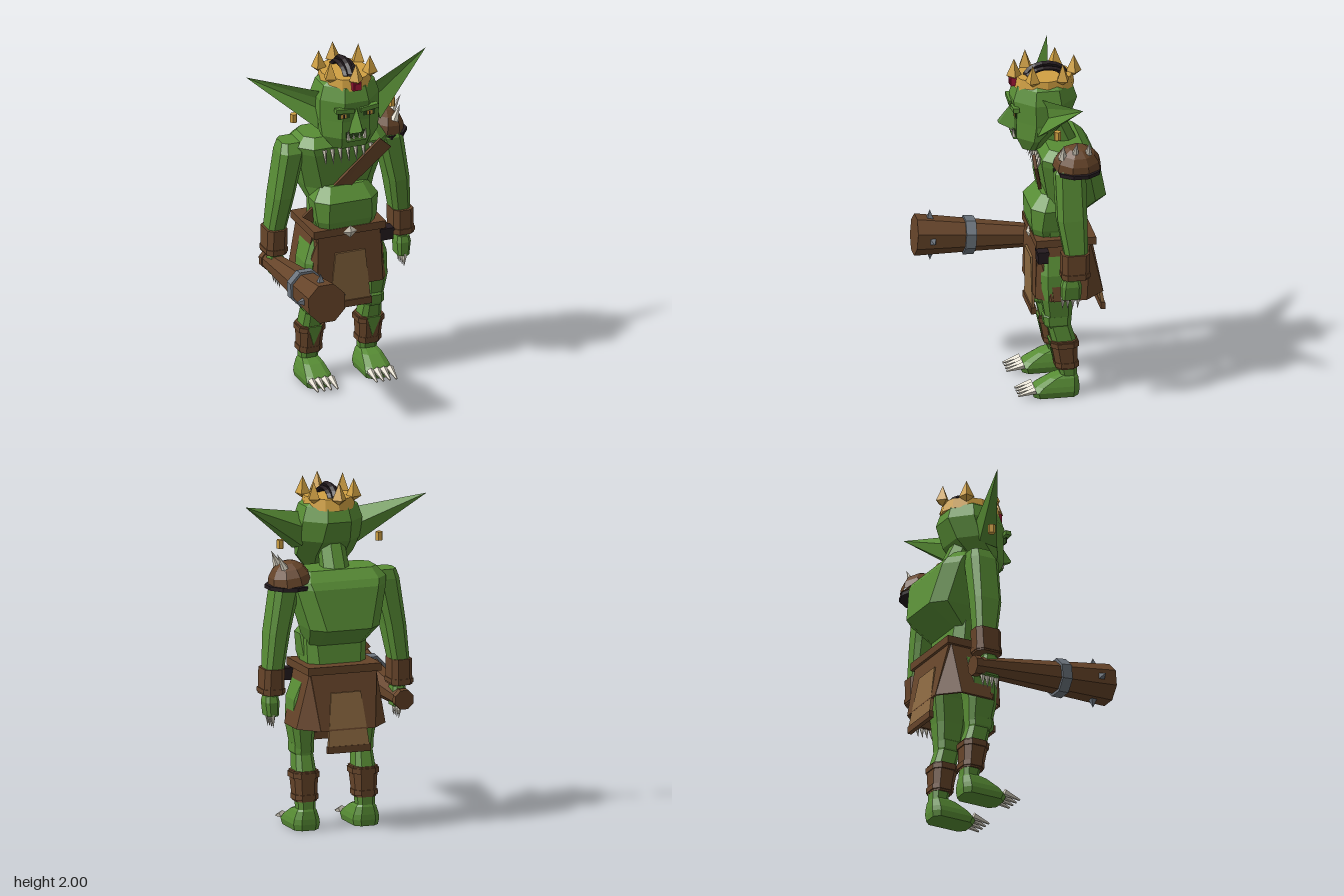
import * as THREE from 'three';

const mat = (name, color) => {
  const m = new THREE.MeshStandardMaterial({ color });
  m.name = name;
  return m;
};
const V = (x, y, z) => new THREE.Vector3(x, y, z);

// Closed flat-shaded skin through rings of equal point count, always facing outward
function skin(rings) {
  const tris = [], n = rings[0].length;
  for (let i = 0; i + 1 < rings.length; i++) {
    for (let j = 0; j < n; j++) {
      const k = (j + 1) % n, a = rings[i], b = rings[i + 1];
      tris.push([a[j], b[j], b[k]], [a[j], b[k], a[k]]);
    }
  }
  const first = rings[0], last = rings[rings.length - 1];
  for (let j = 1; j + 1 < n; j++) {
    tris.push([first[0], first[j], first[j + 1]], [last[0], last[j + 1], last[j]]);
  }
  const o = first[0], cross = V(0, 0, 0);
  let volume = 0;
  for (const [a, b, c] of tris) {
    volume += a.clone().sub(o).dot(cross.crossVectors(b.clone().sub(o), c.clone().sub(o)));
  }
  const pts = tris.flatMap(([a, b, c]) => (volume < 0 ? [a, c, b] : [a, b, c]));
  const geo = new THREE.BufferGeometry().setFromPoints(pts);
  geo.computeVertexNormals();
  return geo;
}

// Stack of chamfered rectangles: [y, centreX, halfWidth, zFront, zBack, chamfer]
const loft = (sections) => skin(sections.map(([y, cx, w, zf, zb, ch = 0.45]) => {
  const d = (zf - zb) / 2, cz = (zf + zb) / 2, c = ch * Math.min(w, d);
  return [[w - c, d], [w, d - c], [w, c - d], [w - c, -d], [c - w, -d], [-w, c - d], [-w, d - c], [c - w, d]]
    .map(([x, z]) => V(cx + x, y, cz + z));
}));

// Flat panel thickened by an offset
const plate = (corners, offset) => {
  const a = corners.map((p) => V(...p));
  return skin([a, a.map((p) => p.clone().add(V(...offset)))]);
};

const flat = (geo) => {
  const g = geo.index ? geo.toNonIndexed() : geo;
  g.computeVertexNormals();
  return g;
};

// Tapered bar between two points; zero end radius gives a spike
function bar(from, to, r0, r1 = 0, sides = 5) {
  const a = V(...from), d = V(...to).sub(a), len = d.length();
  const geo = new THREE.CylinderGeometry(r1, r0, len, sides);
  geo.rotateY(Math.PI / sides).translate(0, len / 2, 0);
  geo.applyQuaternion(new THREE.Quaternion().setFromUnitVectors(V(0, 1, 0), d.normalize()));
  return flat(geo.translate(a.x, a.y, a.z));
}

const box = (w, h, d, x, y, z, tilt = 0) =>
  new THREE.BoxGeometry(w, h, d).rotateZ(tilt).translate(x, y, z);

export function createModel() {
  const root = new THREE.Group();
  root.name = 'goblinChief';
  const green = mat('greenSkin', 0x588d35), shade = mat('darkGreen', 0x2c4a1b);
  const leather = mat('brownLeather', 0x664429), tan = mat('tanCloth', 0x8b6840);
  const gold = mat('gold', 0xd0a042), bone = mat('bone', 0xd6d0c0), steel = mat('steel', 0x6c747d);
  const black = mat('blackLeather', 0x241b1f), red = mat('ruby', 0xa8183a);
  const add = (name, geo, material) => {
    const m = new THREE.Mesh(geo, material);
    m.name = name;
    root.add(m);
  };

  // Torso
  add('chest', loft([[1.05, 0, 0.16, -0.17, -0.32], [1.18, 0, 0.21, -0.17, -0.505],
    [1.41, 0, 0.27, -0.125, -0.455], [1.45, 0, 0.275, -0.125, -0.43], [1.505, 0, 0.23, -0.17, -0.37]]), green);
  add('waist', loft([[0.93, 0, 0.175, -0.12, -0.36], [1.1, 0, 0.18, -0.14, -0.34]]), green);
  add('belly', loft([[0.93, 0, 0.16, -0.1, -0.3], [1.0, 0, 0.18, -0.08, -0.3],
    [1.12, 0, 0.195, -0.075, -0.3, 0.6], [1.2, 0, 0.14, -0.14, -0.28, 0.6]]), green);
  add('neck', bar([0, 1.45, -0.29], [0, 1.68, -0.19], 0.085, 0.075, 8), green);
  add('chestStrap', plate([[0.18, 1.48, -0.07], [0.245, 1.42, -0.07], [-0.18, 0.97, -0.2], [-0.24, 1.01, -0.2]],
    [0, 0, -0.02]), leather);
  for (let i = -3; i <= 3; i++) {
    add('necklaceTooth', bar([i * 0.047, 1.44, -0.125], [i * 0.047, 1.35, -0.1], 0.014), bone);
  }

  // Head and face
  add('head', loft([[1.475, 0, 0.11, -0.035, -0.14, 0.7], [1.55, 0, 0.17, 0, -0.2, 0.85],
    [1.65, 0, 0.18, 0, -0.3, 0.65], [1.77, 0, 0.18, 0.015, -0.35, 0.6], [1.85, 0, 0.155, -0.01, -0.325, 0.6],
    [1.89, 0, 0.1, -0.07, -0.26]]), green);
  add('nose', skin([[V(0, 1.74, 0.005), V(0.05, 1.57, -0.01), V(-0.05, 1.57, -0.01)],
    [V(0, 1.63, 0.095), V(0.008, 1.615, 0.09), V(-0.008, 1.615, 0.09)]]), green);
  add('mouth', box(0.12, 0.035, 0.008, 0, 1.57, 0.003), shade);
  add('lowerLip', box(0.11, 0.02, 0.025, 0, 1.54, 0), green);
  for (const s of [-1, 1]) {
    add('eyeSocket', box(0.07, 0.032, 0.008, s * 0.075, 1.695, 0.006), shade);
    add('eye', box(0.032, 0.024, 0.008, s * 0.08, 1.693, 0.009), gold);
    add('pupil', box(0.008, 0.02, 0.006, s * 0.077, 1.693, 0.012), black);
    add('brow', box(0.11, 0.026, 0.035, s * 0.075, 1.727, 0.008, s * 0.12), green);
    add('tusk', bar([s * 0.048, 1.545, 0.008], [s * 0.055, 1.61, 0.018], 0.013), bone);
    add('tooth', bar([s * 0.018, 1.548, 0.008], [s * 0.018, 1.575, 0.012], 0.008), bone);
    // Ear: hollow front, ridged back, swept outward to a point
    const rim = [[0.14, 1.8, -0.12], [0.16, 1.75, -0.15], [0.165, 1.69, -0.16], [0.19, 1.59, -0.1],
      [0.17, 1.62, -0.2], [0.14, 1.72, -0.22]].map(([x, y, z]) => V(s * x, y, z));
    const tip = V(s * 0.55, 1.89, -0.295);
    add('ear', skin([rim, rim.map((p) => tip.clone().lerp(p, 0.01))]), green);
    add('earring', bar([s * 0.3, 1.615, -0.195], [s * 0.3, 1.665, -0.195], 0.021, 0.021, 6), gold);
  }

  // Crown with six points, jewel and hair crest
  const band = new THREE.CylinderGeometry(0.14, 0.15, 0.065, 12).scale(1, 1, 1.18).translate(0, 1.868, -0.17);
  add('crownBand', flat(band), gold);
  for (let i = 0; i < 6; i++) {
    const a = i * Math.PI / 3, x = Math.sin(a) * 0.14, z = -0.172 + Math.cos(a) * 0.172;
    for (const [h, y] of [[0.1, 1.95], [-0.03, 1.885]]) {
      const point = new THREE.ConeGeometry(0.044, Math.abs(h), 4);
      if (h < 0) point.rotateX(Math.PI);
      add('crownPoint', flat(point.rotateY(a).translate(x, y, z)), gold);
    }
  }
  add('crownJewel', box(0.052, 0.05, 0.035, 0, 1.868, 0.004), red);
  add('crownJewelFace', box(0.034, 0.034, 0.048, 0, 1.868, 0.004), red);
  for (const x of [-0.026, 0, 0.026]) {
    const lock = new THREE.TorusGeometry(x ? 0.1 : 0.11, 0.021, 5, 9, Math.PI).rotateY(Math.PI / 2);
    lock.scale(1, x ? 0.55 : 0.68, 1).translate(x, 1.885, -0.18);
    add('hairLock', flat(lock), black);
  }

  for (const s of [-1, 1]) {
    // Arms
    add('arm', loft([[1.475, s * 0.295, 0.06, -0.21, -0.34], [1.42, s * 0.3, 0.075, -0.175, -0.35],
      [1.15, s * 0.352, 0.062, -0.18, -0.35], [0.93, s * 0.382, 0.052, -0.22, -0.35]]), green);
    add('bracer', loft([[0.95, s * 0.385, 0.06, -0.2, -0.36], [0.8, s * 0.388, 0.062, -0.2, -0.355]]), leather);
    add('bracerRim', loft([[0.835, s * 0.388, 0.066, -0.195, -0.36], [0.81, s * 0.388, 0.066, -0.195, -0.36]]), leather);
    add('wrist', loft([[0.82, s * 0.385, 0.03, -0.22, -0.3], [0.76, s * 0.385, 0.03, -0.22, -0.3]]), green);
    add('hand', loft([[0.785, s * 0.385, 0.036, -0.21, -0.305], [0.75, s * 0.385, 0.042, -0.2, -0.315],
      [0.67, s * 0.382, 0.034, -0.2, -0.31]]), green);
    for (let i = 0; i < 4; i++) {
      const z = -0.212 - i * 0.029;
      add('fingerClaw', bar([s * 0.385, 0.68, z], [s * 0.38, 0.6, z + 0.005], 0.017), bone);
    }

    // Legs
    add('thigh', loft([[0.92, s * 0.12, 0.075, -0.13, -0.36], [0.75, s * 0.175, 0.075, -0.115, -0.32],
      [0.6, s * 0.185, 0.07, -0.12, -0.3], [0.44, s * 0.18, 0.05, -0.15, -0.29]]), green);
    add('knee', loft([[0.505, s * 0.18, 0.045, -0.14, -0.28], [0.49, s * 0.18, 0.058, -0.13, -0.29],
      [0.44, s * 0.18, 0.058, -0.135, -0.29], [0.42, s * 0.18, 0.045, -0.15, -0.29]]), green);
    add('shin', loft([[0.46, s * 0.18, 0.05, -0.15, -0.28], [0.33, s * 0.18, 0.06, -0.18, -0.32],
      [0.1, s * 0.18, 0.05, -0.235, -0.325]]), green);
    add('shinGuard', loft([[0.34, s * 0.18, 0.074, -0.17, -0.325], [0.165, s * 0.18, 0.062, -0.205, -0.325]]), leather);
    for (const [y, w, z] of [[0.315, 0.08, -0.168], [0.19, 0.07, -0.195]]) {
      add('shinStrap', loft([[y + 0.015, s * 0.18, w, z, -0.332], [y - 0.015, s * 0.18, w, z - 0.004, -0.332]]), leather);
    }
    add('shinOpening', plate([[s * 0.18 - 0.042, 0.342, -0.163], [s * 0.18 + 0.042, 0.342, -0.163],
      [s * 0.18, 0.215, -0.189]], [0, 0, -0.009]), green);
    add('foot', loft([[0, s * 0.18, 0.072, -0.075, -0.33], [0.035, s * 0.18, 0.08, -0.06, -0.335],
      [0.065, s * 0.18, 0.075, -0.09, -0.335], [0.11, s * 0.18, 0.06, -0.17, -0.33],
      [0.13, s * 0.18, 0.045, -0.235, -0.32]]), green);
    for (let i = 0; i < 4; i++) {
      const x = s * 0.18 + (i - 1.5) * 0.04;
      add('toeClaw', bar([x, 0.052, -0.08], [x, 0.025, 0.02], 0.022, 0.006), bone);
    }

    // Side skirt panel, back corner and front wing
    add('skirtSide', plate([[s * 0.2, 0.93, -0.15], [s * 0.2, 0.93, -0.4], [s * 0.27, 0.6, -0.37],
      [s * 0.27, 0.6, -0.18]], [s * -0.015, 0, 0]), leather);
    add('skirtCorner', plate([[s * 0.2, 0.93, -0.4], [s * 0.165, 0.6, -0.482], [s * 0.27, 0.6, -0.37]],
      [s * -0.01, 0, 0.01]), leather);
    add('skirtWing', plate([[s * 0.19, 0.9, -0.1], [s * 0.2, 0.6, -0.085], [s * 0.265, 0.6, -0.17]],
      [0, 0, -0.012]), leather);
  }

  // Belt, skirt and loincloth
  add('belt', box(0.44, 0.045, 0.345, 0, 0.938, -0.26), leather);
  add('hipWrap', loft([[0.92, 0, 0.195, -0.105, -0.4, 0.1], [0.8, 0, 0.2, -0.1, -0.41, 0.1]]), leather);
  add('skirtFront', plate([[-0.19, 0.92, -0.095], [0.19, 0.92, -0.095], [0.2, 0.6, -0.085], [-0.2, 0.6, -0.085]],
    [0, 0, -0.015]), leather);
  add('skirtBack', plate([[-0.2, 0.92, -0.415], [0.2, 0.92, -0.415], [0.165, 0.6, -0.484], [-0.165, 0.6, -0.484]],
    [0, 0, 0.015]), leather);
  for (const [top, low, t] of [[-0.079, -0.083, -0.014], [-0.449, -0.5, 0.02]]) {
    add('loincloth', plate([[-0.09, 0.81, top], [0.09, 0.81, top], [0.125, 0.5, low], [-0.125, 0.5, low]], [0, 0, t]), tan);
    if (t > 0) continue;
    add('loinclothHem', box(0.26, 0.04, 0.03, 0, 0.493, low + t / 2), leather);
  }
  add('backHem', box(0.26, 0.04, 0.026, 0, 0.493, -0.488), leather);
  add('buckle', flat(new THREE.OctahedronGeometry(0.042).scale(1, 0.9, 0.4).translate(0, 0.932, -0.085)), bone);
  add('beltPouch', box(0.08, 0.065, 0.06, 0.228, 0.872, -0.12), black);
  add('pouchFlap', box(0.086, 0.02, 0.066, 0.228, 0.9, -0.12), black);

  // Spiked shoulder pad on the left
  const dome = new THREE.SphereGeometry(1, 9, 4, 0, Math.PI * 2, 0, Math.PI / 2);
  const base = new THREE.CircleGeometry(1, 9).rotateX(Math.PI / 2);
  for (const [name, g] of [['shoulderPad', dome], ['shoulderPadBase', base]]) {
    add(name, flat(g.scale(0.125, 0.13, 0.14).rotateZ(-0.15).translate(0.285, 1.44, -0.31)), leather);
  }
  add('padRim', flat(new THREE.CylinderGeometry(0.137, 0.137, 0.022, 10).translate(0.292, 1.422, -0.31)), black);
  for (const [z, tx, ty] of [[-0.22, 0.36, 1.6], [-0.29, 0.395, 1.63], [-0.365, 0.385, 1.62]]) {
    add('padSpike', bar([0.325, 1.51, z], [tx, ty, z], 0.028, 0, 6), bone);
  }

  // Club held forward in the right hand
  const at = (z) => [-0.387, 0.72 + (z + 0.34) * 0.083, z];
  add('club', bar(at(-0.34), at(0.5), 0.052, 0.12, 8), leather);
  add('clubPommel', bar(at(-0.365), at(-0.325), 0.06, 0.06, 8), leather);
  add('clubBand', bar(at(0.16), at(0.22), 0.109, 0.112, 8), steel);
  const [cx, cy, cz] = at(0.41);
  for (let i = 0; i < 4; i++) {
    const dx = Math.cos(i * Math.PI / 2), dy = Math.sin(i * Math.PI / 2);
    add('clubSpike', bar([cx + dx * 0.09, cy + dy * 0.09, cz], [cx + dx * 0.155, cy + dy * 0.155, cz], 0.03, 0, 4), steel);
  }
  return root;
}
